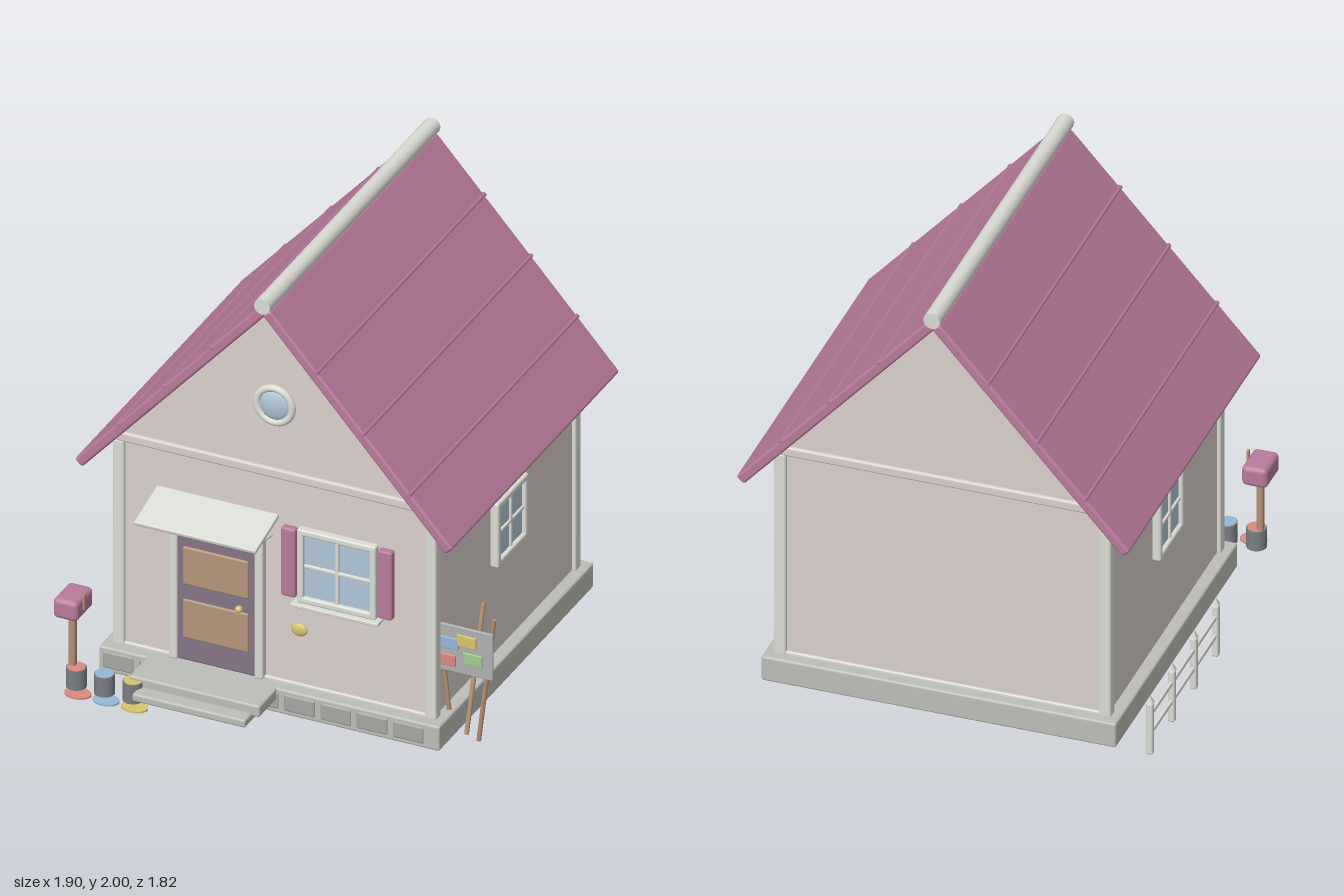
import * as THREE from 'three';
import { RoundedBoxGeometry } from 'three/addons/geometries/RoundedBoxGeometry.js';

const CX = -0.015, CZ = -0.095; // house centre
const mat = (color) => new THREE.MeshStandardMaterial({ color });
const M = {
  wall: mat(0xd9d0cc), trim: mat(0xdcdcd6), stone: mat(0xbdbdb8), block: mat(0xa6a6a2),
  roof: mat(0xb87a9b), door: mat(0x857485), panel: mat(0xb49679), glass: mat(0xb0c6d8),
  wood: mat(0xb48f70), yellow: mat(0xd8c46c), red: mat(0xdb8a80), blue: mat(0x94b8d8),
  green: mat(0xa3cb8a), can: mat(0x7b7e84), board: mat(0xb0b0b0),
};

function add(parent, name, geo, material, x = 0, y = 0, z = 0) {
  const m = new THREE.Mesh(geo, material);
  m.name = name;
  m.position.set(x, y, z);
  parent.add(m);
  return m;
}

// Softly bevelled box given by its min and max on each axis
function box(parent, name, material, x0, x1, y0, y1, z0, z1) {
  const w = x1 - x0, h = y1 - y0, d = z1 - z0;
  const r = Math.min(0.01, Math.min(w, h, d) * 0.3);
  return add(parent, name, new RoundedBoxGeometry(w, h, d, 2, r), material,
    (x0 + x1) / 2, (y0 + y1) / 2, (z0 + z1) / 2);
}

// Round rod between two points
function rod(parent, name, material, a, b, r) {
  const p = new THREE.Vector3(...a), q = new THREE.Vector3(...b);
  const m = add(parent, name, new THREE.CylinderGeometry(r, r, p.distanceTo(q), 12), material);
  m.position.copy(p).lerp(q, 0.5);
  m.quaternion.setFromUnitVectors(new THREE.Vector3(0, 1, 0), q.sub(p).normalize());
  return m;
}

// Cross-barred window facing +z, centred on its own origin
function makeWindow(name, w, h) {
  const g = new THREE.Group();
  g.name = name;
  const f = 0.03, a = w / 2, b = h / 2;
  box(g, 'glass', M.glass, -a + 0.01, a - 0.01, -b + 0.01, b - 0.01, -0.01, 0.012);
  for (const s of [-1, 1]) {
    const x = s * (a - f / 2), y = s * (b - f / 2);
    box(g, 'frameSide', M.trim, x - f / 2, x + f / 2, -b, b, -0.01, 0.03);
    box(g, 'frameRail', M.trim, -a, a, y - f / 2, y + f / 2, -0.01, 0.03);
  }
  box(g, 'verticalBar', M.trim, -0.008, 0.008, -b + f, b - f, 0, 0.022);
  box(g, 'crossBar', M.trim, -a + f, a - f, -0.008, 0.008, 0, 0.022);
  return g;
}

function buildHouse(root) {
  const g = new THREE.Group();
  g.name = 'house';
  root.add(g);
  // Foundation with a row of stone blocks
  box(g, 'foundation', M.stone, -0.79, 0.76, 0, 0.117, -0.835, 0.65);
  for (let i = 0; i < 9; i++) {
    const x = -0.7 + i * 0.165;
    box(g, 'foundationBlock', M.block, x - 0.07, x + 0.07, 0.022, 0.1, 0.63, 0.657);
  }
  // Walls, gables, corner posts and beams
  box(g, 'walls', M.wall, CX - 0.72, CX + 0.72, 0.1, 1.09, -0.775, 0.585);
  const tri = new THREE.Shape([[-0.735, 1.08], [0.735, 1.08], [0, 1.905]].map((p) => new THREE.Vector2(...p)));
  add(g, 'gables', new THREE.ExtrudeGeometry(tri, { depth: 1.37, bevelEnabled: false }), M.wall, CX, 0, -0.78);
  for (const sx of [-1, 1]) for (const z of [-0.765, 0.575]) {
    const x = CX + sx * 0.71;
    box(g, 'cornerPost', M.trim, x - 0.027, x + 0.027, 0.11, 1.09, z - 0.027, z + 0.027);
  }
  for (const z of [-0.775, 0.585]) {
    box(g, 'gableBeam', M.wall, CX - 0.72, CX + 0.72, 1.085, 1.13, z - 0.02, z + 0.02);
    box(g, 'baseTrim', M.trim, CX - 0.71, CX + 0.71, 0.11, 0.13, z - 0.012, z + 0.012);
  }
  // Round gable window
  const ring = new THREE.TorusGeometry(0.08, 0.016, 12, 40);
  add(g, 'roundWindowFrame', ring, M.trim, CX, 1.43, 0.595);
  add(g, 'roundWindowGlass', new THREE.SphereGeometry(0.072, 32, 16), M.glass, CX, 1.43, 0.59).scale.z = 0.35;
}

function buildRoof(root) {
  const g = new THREE.Group();
  g.name = 'roof';
  g.position.set(CX, 0, CZ - 0.005);
  root.add(g);
  const angle = 0.84;
  for (const s of [-1, 1]) {
    const side = new THREE.Group();
    side.name = 'roofSide';
    side.position.set(s * 0.427, 1.463, 0);
    side.rotation.z = -s * angle;
    g.add(side);
    add(side, 'roofSlab', new RoundedBoxGeometry(1.25, 0.046, 1.61, 2, 0.012), M.roof);
    // Raised seams along the slope
    for (const d of [-0.3, 0.02, 0.335]) {
      rod(side, 'roofSeam', M.roof, [s * d, 0.017, -0.81], [s * d, 0.017, 0.81], 0.01);
    }
  }
  rod(g, 'ridgeCap', M.trim, [0, 1.963, -0.817], [0, 1.963, 0.817], 0.037);
}

function buildEntrance(root) {
  const g = new THREE.Group();
  g.name = 'entrance';
  root.add(g);
  // Door frame, door, panels and knob
  box(g, 'doorJamb', M.trim, -0.49, -0.45, 0.115, 0.81, 0.57, 0.615);
  box(g, 'doorJamb', M.trim, -0.1, -0.06, 0.115, 0.81, 0.57, 0.615);
  box(g, 'doorHead', M.trim, -0.49, -0.06, 0.765, 0.81, 0.57, 0.615);
  box(g, 'door', M.door, -0.455, -0.095, 0.12, 0.77, 0.57, 0.61);
  box(g, 'doorPanel', M.panel, -0.425, -0.125, 0.485, 0.665, 0.59, 0.618);
  box(g, 'doorPanel', M.panel, -0.425, -0.125, 0.23, 0.415, 0.59, 0.618);
  add(g, 'doorKnob', new THREE.SphereGeometry(0.016, 16, 12), M.yellow, -0.16, 0.44, 0.632);
  // Sloping canopy on two brackets
  add(g, 'canopy', new RoundedBoxGeometry(0.555, 0.02, 0.235, 2, 0.006), M.trim, -0.273, 0.877, 0.705)
    .rotation.x = 0.25;
  for (const x of [-0.51, -0.035]) {
    rod(g, 'canopyBracket', M.trim, [x, 0.8, 0.585], [x, 0.842, 0.805], 0.007);
  }
  // Porch and step
  box(g, 'porch', M.stone, -0.575, 0.02, 0.062, 0.117, 0.6, 0.815);
  box(g, 'step', M.stone, -0.53, -0.015, 0.038, 0.076, 0.68, 0.88);
}

function buildWindows(root) {
  const front = makeWindow('frontWindow', 0.36, 0.35);
  front.position.set(0.275, 0.705, 0.59);
  box(front, 'windowSill', M.trim, -0.2, 0.2, -0.19, -0.173, -0.01, 0.05);
  for (const s of [-1, 1]) {
    const x = s * 0.22;
    box(front, 'shutter', M.roof, x - 0.033, x + 0.033, -0.16, 0.165, -0.01, 0.028);
    const side = makeWindow('sideWindow', 0.295, 0.305);
    side.position.set(CX + s * 0.73, 0.703, -0.097);
    side.rotation.y = s * Math.PI / 2;
    root.add(side);
  }
  root.add(front);
  // Rounded yellow ornament on the front wall
  add(root, 'wallOrnament', new THREE.SphereGeometry(0.037, 24, 16), M.yellow, 0.095, 0.385, 0.59).scale.set(1, 0.82, 0.4);
}

function buildMailbox(root) {
  const g = new THREE.Group();
  g.name = 'mailbox';
  root.add(g);
  box(g, 'mailboxPost', M.wood, -0.849, -0.819, 0, 0.36, 0.79, 0.82);
  add(g, 'mailboxBody', new RoundedBoxGeometry(0.113, 0.093, 0.165, 4, 0.022), M.roof, -0.834, 0.395, 0.803);
  box(g, 'mailboxFlag', M.wood, -0.779, -0.768, 0.385, 0.46, 0.813, 0.832);
}

function buildPaintCans(root) {
  [[M.red, -0.813], [M.blue, -0.685], [M.yellow, -0.555]].forEach(([paint, x]) => {
    const g = new THREE.Group();
    g.name = 'paintCan';
    g.position.set(x, 0, 0.815);
    root.add(g);
    add(g, 'canBody', new THREE.CylinderGeometry(0.043, 0.043, 0.092, 24), M.can, 0, 0.052, 0);
    add(g, 'paintSurface', new THREE.CylinderGeometry(0.039, 0.039, 0.006, 24), paint, 0, 0.098, 0);
    add(g, 'paintPuddle', new THREE.CylinderGeometry(0.058, 0.058, 0.008, 28), paint, 0.03, 0.004, 0.048).scale.z = 0.75;
  });
}

function buildFence(root) {
  const g = new THREE.Group();
  g.name = 'fence';
  root.add(g);
  for (let i = 0; i < 4; i++) {
    const z = -0.822 + i * 0.266;
    box(g, 'fencePost', M.trim, -0.951, -0.921, 0, 0.25, z - 0.015, z + 0.015);
    add(g, 'fencePoint', new THREE.ConeGeometry(0.021, 0.036, 4), M.trim, -0.936, 0.266, z).rotation.y = Math.PI / 4;
  }
  for (const y of [0.1, 0.19]) box(g, 'fenceRail', M.trim, -0.944, -0.928, y - 0.01, y + 0.01, -0.822, -0.024);
}

function buildEasel(root) {
  const g = new THREE.Group();
  g.name = 'easel';
  root.add(g);
  rod(g, 'easelLeg', M.wood, [0.87, 0.005, 0.502], [0.94, 0.598, 0.502], 0.01);
  rod(g, 'easelBackLeg', M.wood, [0.803, 0.005, 0.478], [0.803, 0.548, 0.315], 0.01);
  rod(g, 'easelLeg', M.wood, [0.735, 0.12, 0.502], [0.68, 0.598, 0.502], 0.01);
  // Canvas board with dabs of paint
  box(g, 'canvasBoard', M.board, 0.68, 0.943, 0.315, 0.535, 0.51, 0.523);
  [[M.blue, 0.745, 0.452], [M.yellow, 0.825, 0.475], [M.red, 0.732, 0.37], [M.green, 0.853, 0.395]]
    .forEach(([m, x, y]) => box(g, 'paintSwatch', m, x - 0.044, x + 0.044, y - 0.027, y + 0.027, 0.518, 0.53));
}

export function createModel() {
  const root = new THREE.Group();
  root.name = 'cottage';
  [buildHouse, buildRoof, buildEntrance, buildWindows, buildMailbox, buildPaintCans, buildFence, buildEasel]
    .forEach((build) => build(root));
  return root;
}
